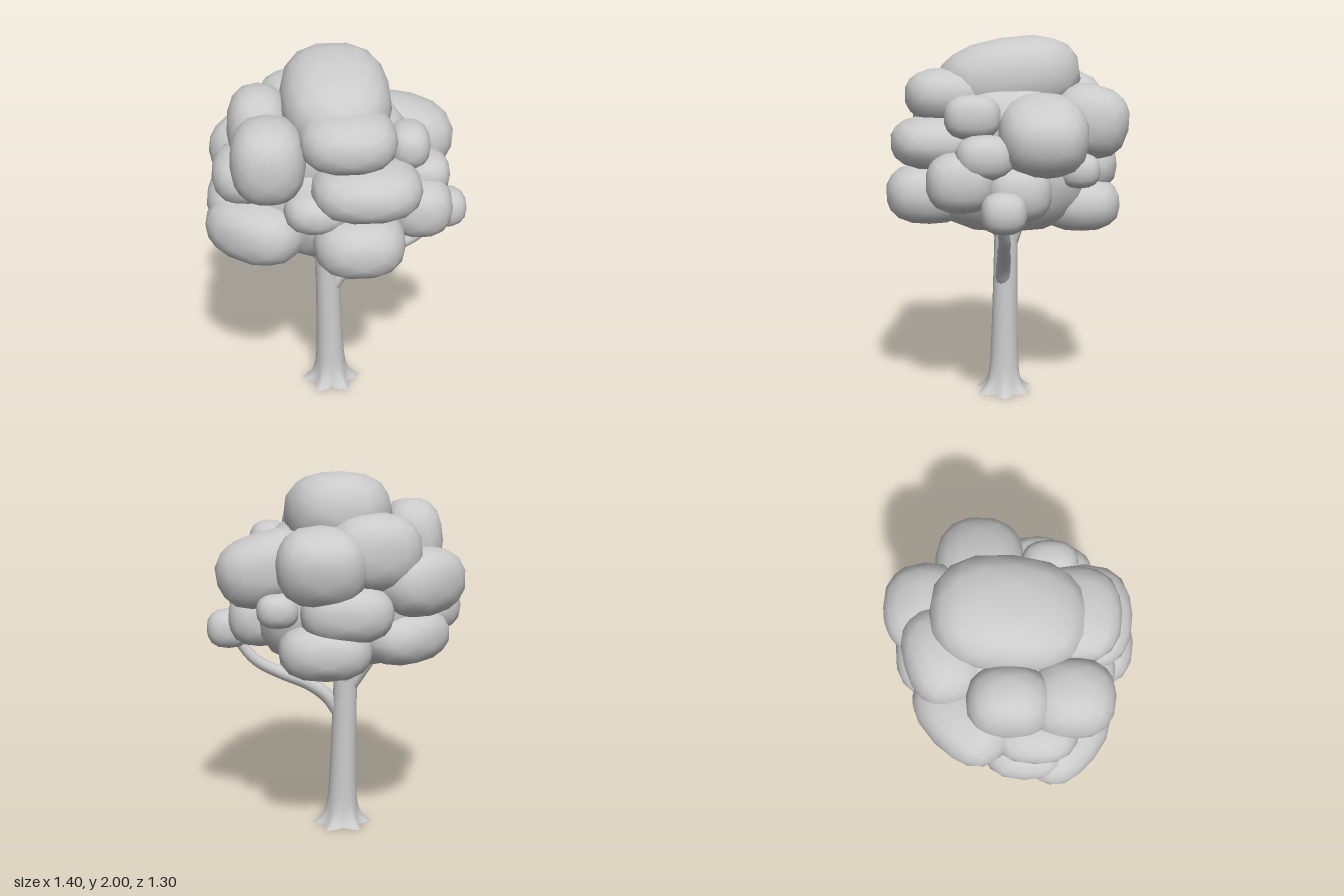
import * as THREE from 'three';
import { mergeVertices } from 'three/addons/utils/BufferGeometryUtils.js';

const material = new THREE.MeshStandardMaterial({ color: 0xcccccc, side: THREE.DoubleSide });
const V = (x, y, z) => new THREE.Vector3(x, y, z);

// Coarse, slightly squared ball with smooth normals, stretched to the given radii
function puffGeometry(rx, ry, rz) {
  const base = new THREE.IcosahedronGeometry(1.02, 2);
  base.deleteAttribute('normal');
  base.deleteAttribute('uv');
  const geo = mergeVertices(base, 1e-3);
  const p = geo.attributes.position;
  const square = (v) => Math.sign(v) * Math.pow(Math.abs(v), 0.82);
  for (let i = 0; i < p.count; i++) {
    p.setXYZ(i, square(p.getX(i)) * rx, square(p.getY(i)) * ry, square(p.getZ(i)) * rz);
  }
  geo.computeVertexNormals();
  return geo;
}

function addPuff(group, name, [x, y, z, rx, ry, rz, tilt = 0, yaw = 0, roll = 0]) {
  const mesh = new THREE.Mesh(puffGeometry(rx, ry, rz), material);
  mesh.name = name;
  mesh.position.set(x, y, z);
  mesh.rotation.set(tilt, yaw, roll);
  group.add(mesh);
}

// Tube along a path that tapers from radius r0 to r1
function limb(name, points, r0, r1, rings, sides) {
  const curve = new THREE.CatmullRomCurve3(points);
  const geo = new THREE.TubeGeometry(curve, rings, 1, sides);
  const p = geo.attributes.position;
  const v = V(0, 0, 0);
  for (let k = 0; k < p.count; k++) {
    const t = Math.floor(k / (sides + 1)) / rings;
    const c = curve.getPointAt(t);
    v.fromBufferAttribute(p, k).sub(c).multiplyScalar(r0 + (r1 - r0) * t).add(c);
    p.setXYZ(k, v.x, v.y, v.z);
  }
  const mesh = new THREE.Mesh(geo, material);
  mesh.name = name;
  return mesh;
}

// Trunk: round column flaring into pointed roots at the ground
function makeTrunk() {
  const height = 1.15;
  const geo = new THREE.CylinderGeometry(1, 1, height, 24, 20, true);
  const p = geo.attributes.position;
  for (let i = 0; i < p.count; i++) {
    const y = Math.pow(p.getY(i) / height + 0.5, 1.7) * height; // more rings near the roots
    const a = Math.atan2(p.getZ(i), p.getX(i));
    const r = 0.077 - 0.014 * y + 0.018 * Math.exp(-y / 0.15)
      + Math.exp(-y / 0.04) * (0.045 + 0.03 * Math.cos(6 * a));
    p.setXYZ(i, -0.038 - 0.022 * y + Math.cos(a) * r, y, 0.015 - 0.015 * y + Math.sin(a) * r);
  }
  geo.computeVertexNormals();
  const mesh = new THREE.Mesh(geo, material);
  mesh.name = 'trunk';
  return mesh;
}

// Foliage puffs: centre x, y, z, radii x, y, z, optional tilt, yaw, roll
const PUFFS = {
  core: [-0.02, 1.27, 0, 0.47, 0.325, 0.45],
  upperCore: [-0.03, 1.52, -0.02, 0.42, 0.25, 0.38],
  crown: [-0.01, 1.76, -0.01, 0.285, 0.22, 0.385, 0.16],
  frontUpperRight: [-0.37, 1.575, 0.3, 0.19, 0.215, 0.22],
  sideUpperRight: [-0.41, 1.62, 0, 0.165, 0.22, 0.21],
  frontUpper: [0.03, 1.68, 0.31, 0.245, 0.145, 0.235],
  frontMiddle: [0.12, 1.44, 0.37, 0.28, 0.14, 0.25],
  frontLower: [0.08, 1.16, 0.42, 0.235, 0.16, 0.23],
  frontLowerRight: [-0.44, 1.18, 0.28, 0.27, 0.165, 0.2, 0, -0.64],
  frontSmall: [-0.13, 1.33, 0.36, 0.17, 0.11, 0.18],
  frontLowerLeft: [0.41, 1.265, 0.25, 0.17, 0.155, 0.18],
  leftSmall: [0.35, 1.59, 0.19, 0.11, 0.115, 0.145],
  leftMiddle: [0.44, 1.395, 0.13, 0.14, 0.115, 0.15],
  leftLower: [0.41, 1.21, -0.04, 0.17, 0.15, 0.17],
  leftUpper: [0.37, 1.5, -0.17, 0.27, 0.19, 0.23, 0, 0, -0.3],
  leftBackSmall: [0.32, 1.31, -0.36, 0.11, 0.09, 0.11],
  backUpper: [0.1, 1.545, -0.43, 0.23, 0.195, 0.215, -0.2],
  backUpperRight: [-0.17, 1.6, -0.33, 0.25, 0.2, 0.2, 0, 0.3],
  backMiddle: [-0.03, 1.3, -0.41, 0.24, 0.15, 0.19],
  backLower: [0.08, 1.1, -0.39, 0.24, 0.145, 0.215],
  backLowerRight: [-0.35, 1.14, -0.24, 0.27, 0.14, 0.19, 0, 0.78],
  rightBack: [-0.42, 1.43, -0.23, 0.28, 0.18, 0.2, 0, 0.78],
  rightMiddle: [-0.47, 1.43, 0.13, 0.19, 0.14, 0.22],
  rightLower: [-0.5, 1.25, 0.08, 0.195, 0.15, 0.22],
  branchTip: [0.58, 1.135, 0.04, 0.12, 0.105, 0.115],
};

export function createModel() {
  const tree = new THREE.Group();
  tree.name = 'tree';
  tree.add(makeTrunk());

  // Long side branch carrying its own puff
  tree.add(limb('longBranch', [
    V(-0.03, 0.64, 0.02), V(0.04, 0.74, 0.02), V(0.14, 0.815, 0.02),
    V(0.3, 0.88, 0.03), V(0.43, 0.95, 0.03), V(0.51, 1.04, 0.04), V(0.55, 1.12, 0.04),
  ], 0.042, 0.028, 18, 10));

  // Short forks vanishing into the foliage
  const forks = [[-0.25, 1.06, -0.06], [-0.03, 1.08, 0.09], [-0.03, 1.08, -0.11]];
  forks.forEach(([x, y, z], i) => {
    const start = V(i ? -0.06 : -0.08, 0.8, z * 0.1);
    tree.add(limb('fork' + (i + 1), [start, V(x, y, z)], 0.036, 0.028, 6, 10));
  });

  const foliage = new THREE.Group();
  foliage.name = 'foliage';
  for (const [name, spec] of Object.entries(PUFFS)) addPuff(foliage, name, spec);
  tree.add(foliage);
  return tree;
}
